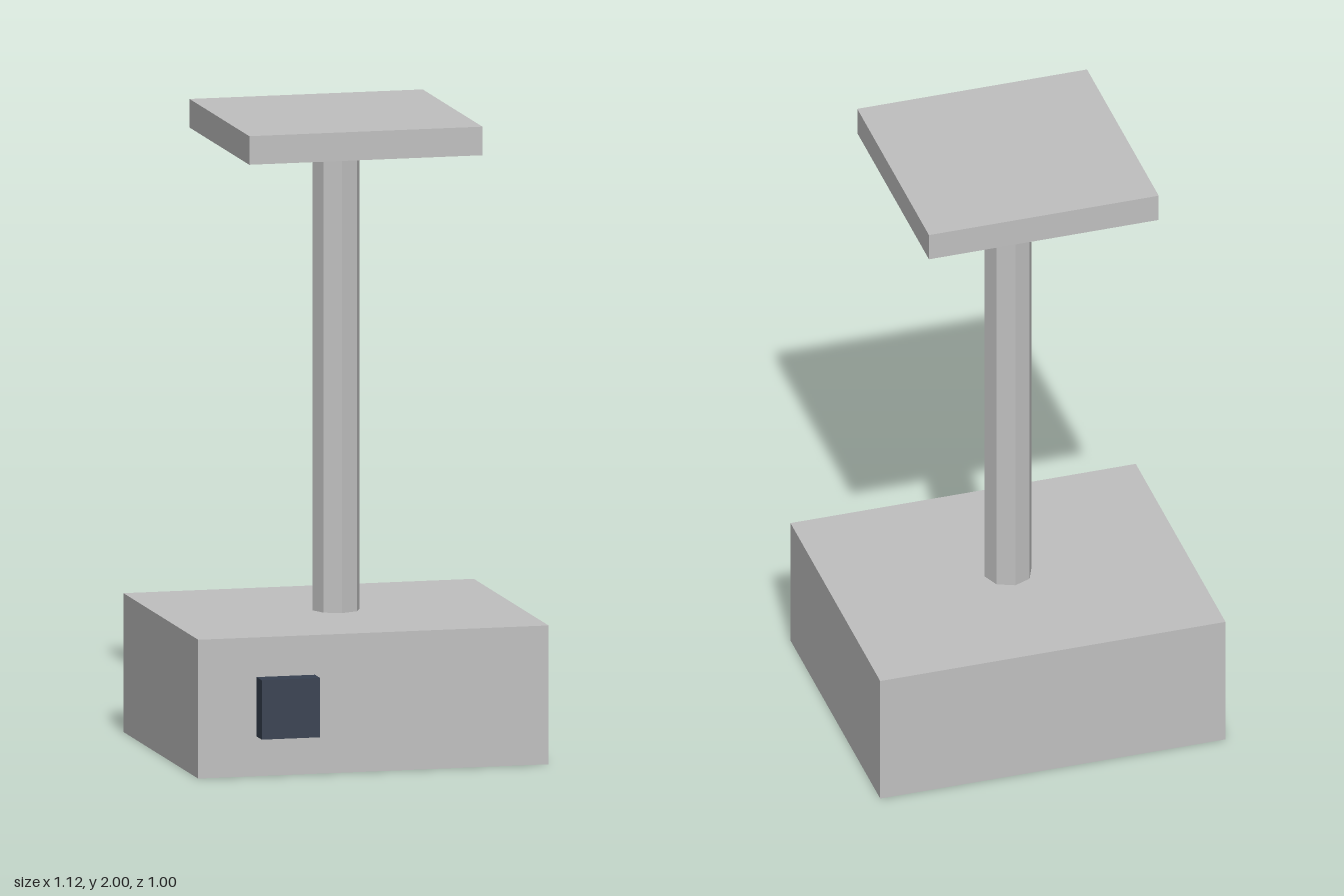
import * as THREE from 'three';

const grey = new THREE.MeshStandardMaterial({ color: 0xc0c0c0 });
grey.name = 'light grey';
const slate = new THREE.MeshStandardMaterial({ color: 0x374151 });
slate.name = 'dark slate';

// Mesh resting with its underside at y
function part(name, geometry, material, height, x, y, z) {
  const mesh = new THREE.Mesh(geometry, material);
  mesh.name = name;
  mesh.position.set(x, y + height / 2, z);
  return mesh;
}

function box(name, material, w, h, d, x, y, z) {
  return part(name, new THREE.BoxGeometry(w, h, d), material, h, x, y, z);
}

export function createModel() {
  const group = new THREE.Group();
  group.name = 'pedestal';
  const axisZ = -0.032;

  // Heavy base block
  group.add(box('base', grey, 1.124, 0.437, 0.936, 0, 0, axisZ));

  // Eight-sided post, faceted
  const post = new THREE.CylinderGeometry(0.076, 0.076, 1.473, 8).toNonIndexed();
  post.computeVertexNormals();
  group.add(part('post', post, grey, 1.473, 0, 0.437, axisZ));

  // Square top plate
  group.add(box('topPlate', grey, 0.748, 0.09, 0.748, 0, 1.91, axisZ));

  // Control box on the front of the base
  group.add(box('controlBox', slate, 0.187, 0.187, 0.064, -0.281, 0.125, 0.468));

  return group;
}
